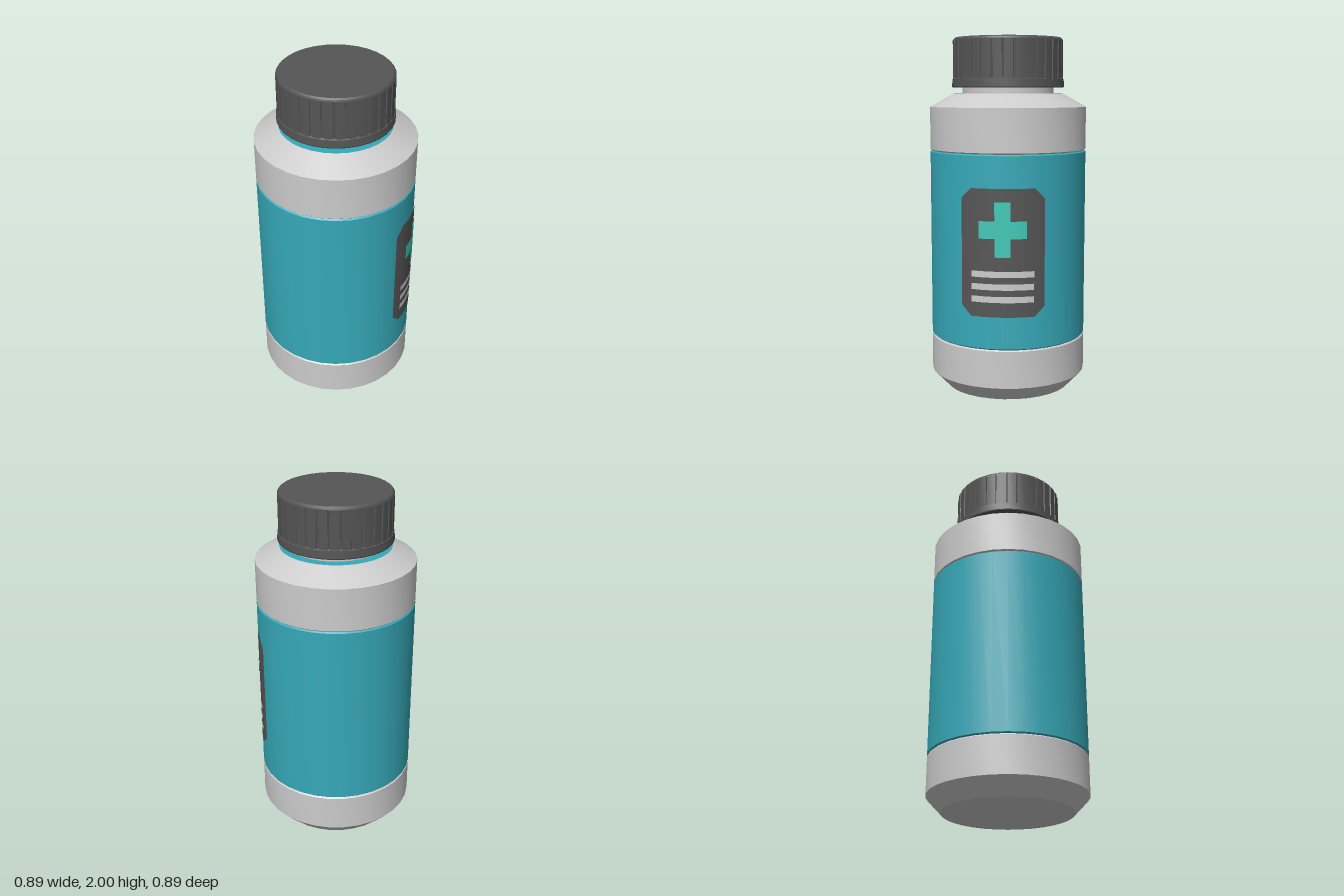
import * as THREE from 'three';
import { toCreasedNormals } from 'three/addons/utils/BufferGeometryUtils.js';

const R = 0.445; // bottle radius
const SIDES = 32;

const mat = (color) => new THREE.MeshStandardMaterial({ color });
const white = mat(0xcccccc);
const teal = mat(0x36a9b8);
const dark = mat(0x555555);
const mint = mat(0x40c8b8);

export function createModel() {
  const model = new THREE.Group();

  const add = (name, geometry, material) => {
    const mesh = new THREE.Mesh(geometry, material);
    mesh.name = name;
    model.add(mesh);
    return mesh;
  };

  // Turned part from [radius, height] pairs, listed bottom to top
  const turned = (name, profile, material) => {
    const points = profile.map(([r, y]) => new THREE.Vector2(r, y));
    return add(name, toCreasedNormals(new THREE.LatheGeometry(points, SIDES), 0.4), material);
  };

  // Patch wrapped round the +x side; columns are [z, low y, high y] with z falling
  const wrapped = (name, columns, lift, material) => {
    const pos = [], normal = [], index = [];
    const r = R + lift;
    const put = (z, y) => {
      const x = Math.sqrt(r * r - z * z);
      pos.push(x, y, z);
      normal.push(x / r, 0, z / r);
    };
    const steps = 6;
    for (let c = 0; c < columns.length - 1; c++) {
      const [a, b] = [columns[c], columns[c + 1]];
      for (let s = 0; s <= steps; s++) {
        const [z, lo, hi] = a.map((v, k) => THREE.MathUtils.lerp(v, b[k], s / steps));
        const n = pos.length / 3;
        put(z, lo);
        put(z, hi);
        if (s < steps) index.push(n, n + 2, n + 1, n + 1, n + 2, n + 3);
      }
    }
    const g = new THREE.BufferGeometry();
    g.setAttribute('position', new THREE.Float32BufferAttribute(pos, 3));
    g.setAttribute('normal', new THREE.Float32BufferAttribute(normal, 3));
    g.setIndex(index);
    return add(name, g, material);
  };

  // Bottle: base, coloured sleeve between two fine grooves, shoulder and neck
  turned('base', [[0, 0], [0.36, 0], [R, 0.09], [R, 0.298], [0.437, 0.305]], white);
  turned('sleeve', [[0.437, 0.305], [R, 0.312], [R, 1.363], [0.437, 1.37]], teal);
  turned('shoulder', [[0.437, 1.37], [R, 1.377], [R, 1.615], [0.31, 1.69]], white);
  turned('shoulderTop', [[0.31, 1.69], [0.26, 1.69]], teal);
  turned('neck', [[0.26, 1.69], [0.26, 1.74]], white);

  // Cap: retaining ring, ribbed grip and crown
  turned('capRing', [[0, 1.722], [0.316, 1.722], [0.319, 1.728], [0.317, 1.77], [0.305, 1.778]], dark);

  const ribs = new THREE.Shape();
  const count = 32;
  for (let i = 0; i < count; i++) {
    // each rib is a wide land followed by a narrow groove
    [[0, 0.312], [0.4, 0.313], [0.8, 0.312], [0.84, 0.306], [0.96, 0.306]].forEach(([t, r], k) => {
      const a = ((i + t) / count) * Math.PI * 2;
      const p = [r * Math.cos(a), r * Math.sin(a)];
      if (i + k === 0) ribs.moveTo(...p);
      else ribs.lineTo(...p);
    });
  }
  ribs.closePath();
  const grip = new THREE.ExtrudeGeometry(ribs, { depth: 0.215, bevelEnabled: false });
  grip.rotateX(-Math.PI / 2).translate(0, 1.77, 0);
  add('capGrip', toCreasedNormals(grip, 0.4), dark);
  turned('capCrown', [[0.311, 1.984], [0.308, 1.993], [0.3, 2], [0, 2]], dark);

  // Label with cut corners
  wrapped('label', [
    [0.225, 0.545, 1.135], [0.172, 0.49, 1.19],
    [-0.172, 0.49, 1.19], [-0.225, 0.545, 1.135],
  ], 0.002, dark);

  // Cross: an upright and two arms
  wrapped('crossUpright', [[0.043, 0.82, 1.118], [-0.043, 0.82, 1.118]], 0.004, mint);
  for (const [name, z] of [['crossArmFront', 0.13], ['crossArmBack', -0.043]]) {
    wrapped(name, [[z, 0.92, 1.015], [z - 0.087, 0.92, 1.015]], 0.004, mint);
  }

  // Three plain stripes below the cross
  for (const y of [0.588, 0.657, 0.726]) {
    wrapped('stripe', [[0.17, y - 0.017, y + 0.017], [-0.17, y - 0.017, y + 0.017]], 0.004, white);
  }

  return model;
}
